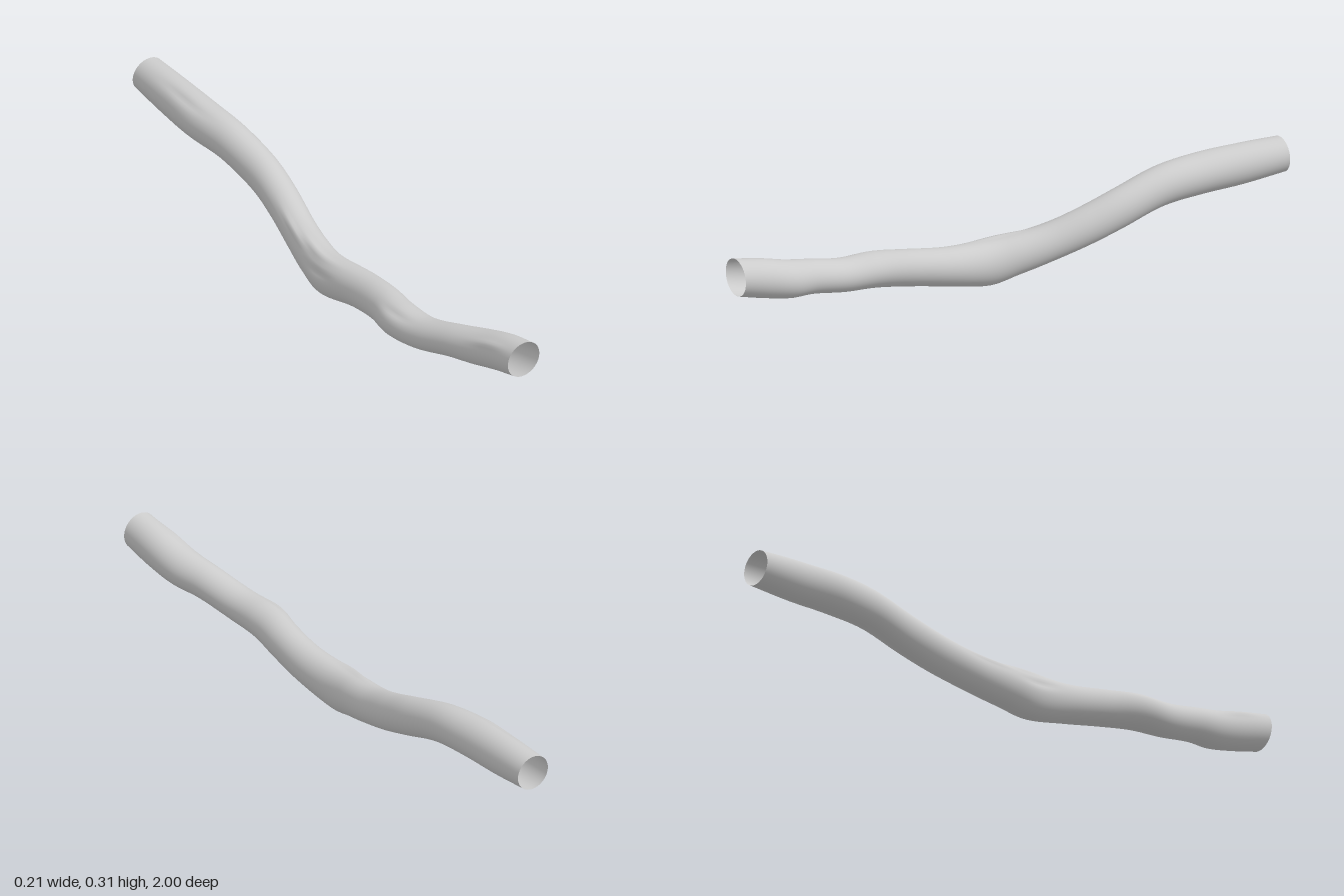
import * as THREE from 'three';

// Cross-sections along the branch: z, left x, right x, bottom y, top y
const SECTIONS = [
  [-1.0, -0.02, 0.1, 0.195, 0.31],
  [-0.85, -0.03, 0.1, 0.182, 0.314],
  [-0.7, -0.038, 0.1, 0.178, 0.312],
  [-0.55, -0.022, 0.103, 0.17, 0.3],
  [-0.4, -0.01, 0.108, 0.13, 0.262],
  [-0.28, -0.02, 0.097, 0.092, 0.22],
  [-0.15, -0.045, 0.072, 0.052, 0.175],
  [-0.05, -0.067, 0.055, 0.025, 0.158],
  [0.05, -0.08, 0.046, 0.006, 0.153],
  [0.2, -0.07, 0.053, 0.038, 0.165],
  [0.33, -0.08, 0.043, 0.062, 0.182],
  [0.45, -0.106, 0.026, 0.076, 0.192],
  [0.57, -0.092, 0.027, 0.088, 0.197],
  [0.7, -0.065, 0.053, 0.118, 0.23],
  [0.8, -0.045, 0.083, 0.133, 0.257],
  [0.9, -0.03, 0.096, 0.158, 0.287],
  [1.0, -0.025, 0.098, 0.185, 0.308],
];

// Shallow bark ridges: z, angle, length, angular width, height
const RIDGES = [
  [0.0, 1.95, 0.09, 0.18, 0.008],
  [-0.12, 2.3, 0.08, 0.15, 0.006],
  [0.05, 2.75, 0.06, 0.2, -0.006],
  [0.47, 2.2, 0.06, 0.2, -0.005],
  [0.88, 2.4, 0.07, 0.18, 0.005],
  [-0.75, 2.1, 0.1, 0.18, -0.005],
];

const RINGS = 160;
const SIDES = 48;

function ridgeHeight(z, angle) {
  let h = 0;
  for (const [rz, ra, length, width, height] of RIDGES) {
    const da = Math.atan2(Math.sin(angle - ra), Math.cos(angle - ra));
    h += height * Math.exp(-(((z - rz) / length) ** 2) - (da / width) ** 2);
  }
  return h;
}

function smoothCurve(toPoint) {
  return new THREE.CatmullRomCurve3(SECTIONS.map(toPoint), false, 'catmullrom', 0.5);
}

// Open tube whose oval sections follow the two curves
function branchGeometry() {
  const centre = smoothCurve(([z, l, r, b, t]) => new THREE.Vector3((l + r) / 2, (b + t) / 2, z));
  const radius = smoothCurve(([z, l, r, b, t]) => new THREE.Vector3((r - l) / 2, (t - b) / 2, z));
  const positions = [];
  const indices = [];
  for (let i = 0; i <= RINGS; i++) {
    const c = centre.getPoint(i / RINGS);
    const r = radius.getPoint(i / RINGS);
    for (let j = 0; j < SIDES; j++) {
      const a = (j / SIDES) * Math.PI * 2;
      const h = ridgeHeight(c.z, a);
      positions.push(c.x + Math.cos(a) * (r.x + h), c.y + Math.sin(a) * (r.y + h), c.z);
      if (i === RINGS) continue;
      const p = i * SIDES + j;
      const q = i * SIDES + ((j + 1) % SIDES);
      indices.push(p, q, p + SIDES, q, q + SIDES, p + SIDES);
    }
  }
  const geometry = new THREE.BufferGeometry();
  geometry.setAttribute('position', new THREE.Float32BufferAttribute(positions, 3));
  geometry.setIndex(indices);
  geometry.computeVertexNormals();
  return geometry;
}

export function createModel() {
  const group = new THREE.Group();
  group.name = 'branch';
  // Hollow, open at both ends
  const material = new THREE.MeshStandardMaterial({ color: 0xcccccc, side: THREE.DoubleSide });
  const bark = new THREE.Mesh(branchGeometry(), material);
  bark.name = 'bark';
  group.add(bark);
  return group;
}
